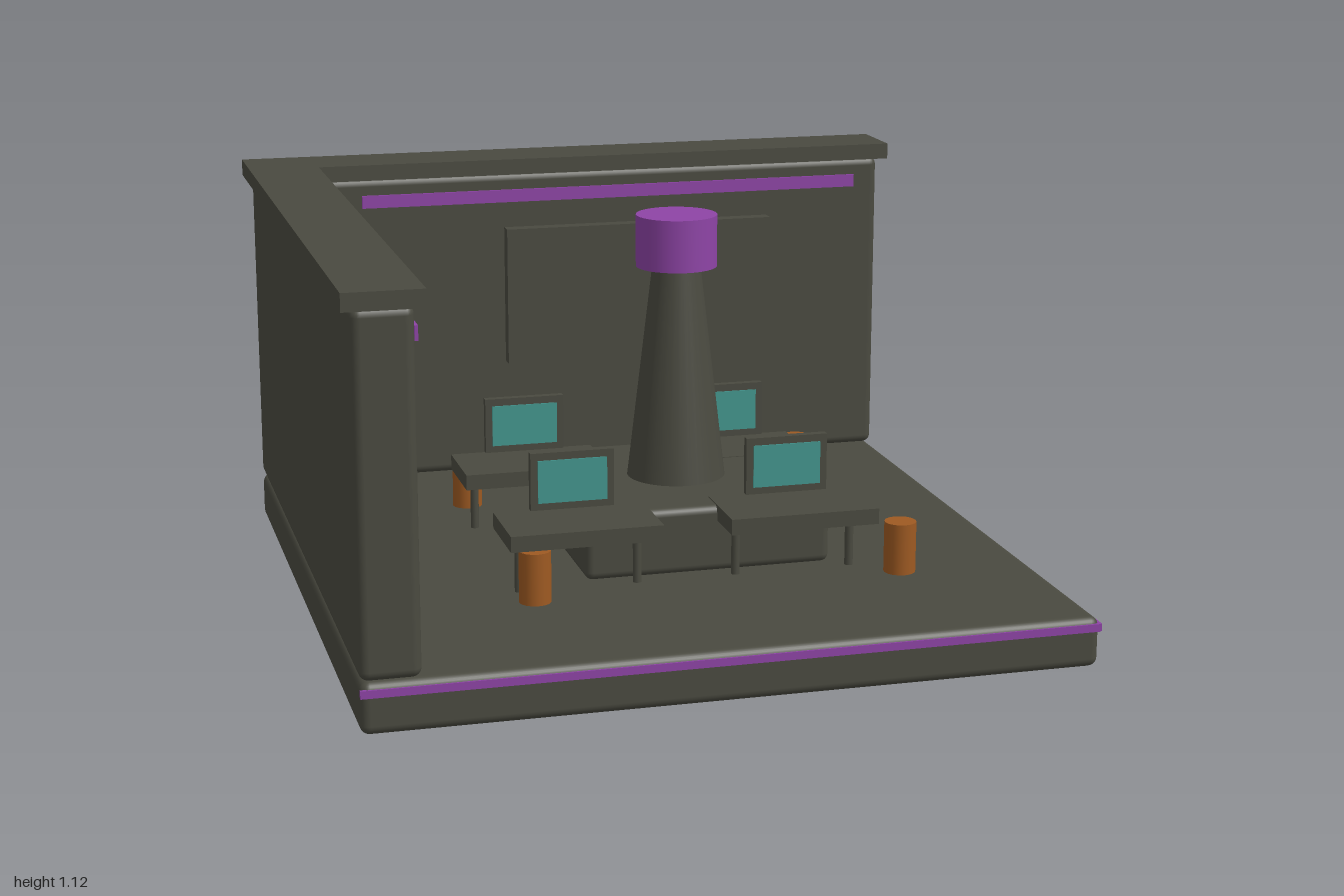
import * as THREE from 'three';
import { RoundedBoxGeometry } from 'three/addons/geometries/RoundedBoxGeometry.js';

const mat = (name, color) => Object.assign(new THREE.MeshStandardMaterial({ color }), { name });

export function createModel() {
  const stone = mat('dark stone', 0x4a4a40);
  const purple = mat('purple glow', 0x8e44a6);
  const teal = mat('teal screen', 0x43968e);
  const orange = mat('orange stool', 0x9e5a22);
  const model = new THREE.Group();
  model.name = 'controlRoom';

  const add = (name, geometry, material, parent = model) => {
    const mesh = new THREE.Mesh(geometry, material);
    mesh.name = name;
    parent.add(mesh);
    return mesh;
  };
  // Boxes are given by their min and max on each axis
  const box = (name, material, [x0, x1], [y0, y1], [z0, z1], round = 0, parent = model) => {
    const size = [x1 - x0, y1 - y0, z1 - z0];
    const geometry = round ? new RoundedBoxGeometry(...size, 3, round) : new THREE.BoxGeometry(...size);
    const mesh = add(name, geometry, material, parent);
    mesh.position.set((x0 + x1) / 2, (y0 + y1) / 2, (z0 + z1) / 2);
    return mesh;
  };
  const cylinder = (name, material, x, z, y0, y1, rTop, rBottom, sides, parent = model) => {
    const mesh = add(name, new THREE.CylinderGeometry(rTop, rBottom, y1 - y0, sides), material, parent);
    mesh.position.set(x, (y0 + y1) / 2, z);
    return mesh;
  };

  // Floor slab with glowing edges
  box('floor', stone, [-0.975, 0.975], [0, 0.137], [-0.975, 0.975], 0.025);
  box('frontFloorStrip', purple, [-0.975, 0.975], [0.1, 0.121], [0.969, 0.978]);
  box('sideFloorStrip', purple, [0.969, 0.978], [0.1, 0.121], [-0.975, 0.975]);

  // Two walls with cap trims
  box('rightWall', stone, [-0.975, -0.818], [0.139, 1.073], [-0.975, 0.975], 0.025);
  box('backWall', stone, [-0.818, 0.975], [0.139, 1.073], [-0.975, -0.818], 0.025);
  box('rightWallTrim', stone, [-1, -0.795], [1.07, 1.117], [-1, 1]);
  box('backWallTrim', stone, [-0.795, 1], [1.07, 1.117], [-1, -0.795]);

  // Wall lights and wall panel
  box('backWallLight', purple, [-0.665, 0.895], [0.983, 1.021], [-0.819, -0.81]);
  box('rightWallLight', purple, [-0.819, -0.81], [0.983, 1.021], [-0.77, 0.96]);
  box('wallPanel', stone, [-0.235, 0.6], [0.492, 0.91], [-0.79, -0.747]);

  // Central plinth, tapered column and glowing cap
  box('plinth', stone, [-0.257, 0.439], [0.139, 0.326], [-0.347, 0.347], 0.022);
  cylinder('column', stone, 0.091, 0, 0.32, 0.94, 0.067, 0.14, 32);
  cylinder('columnCap', purple, 0.091, 0, 0.93, 1.076, 0.114, 0.114, 32);

  // Four desks, each with two legs and a monitor facing the front
  for (const x of [-0.285, 0.322]) {
    for (const z of [0.373, -0.233]) {
      const desk = new THREE.Group();
      desk.name = 'desk';
      desk.position.set(x, 0, z);
      model.add(desk);
      box('deskTop', stone, [-0.209, 0.209], [0.284, 0.328], [-0.116, 0.116], 0, desk);
      for (const side of [-1, 1]) cylinder('deskLeg', stone, side * 0.164, 0, 0.136, 0.286, 0.012, 0.012, 12, desk);
      box('monitor', stone, [-0.116, 0.116], [0.34, 0.5], [-0.084, -0.062], 0, desk);
      box('monitorScreen', teal, [-0.096, 0.096], [0.36, 0.479], [-0.063, -0.058], 0, desk);
    }
  }

  // Stools at the four corners
  for (const x of [-0.425, 0.602]) {
    for (const z of [-0.465, 0.465]) cylinder('stool', orange, x, z, 0.136, 0.28, 0.044, 0.044, 16);
  }
  return model;
}
